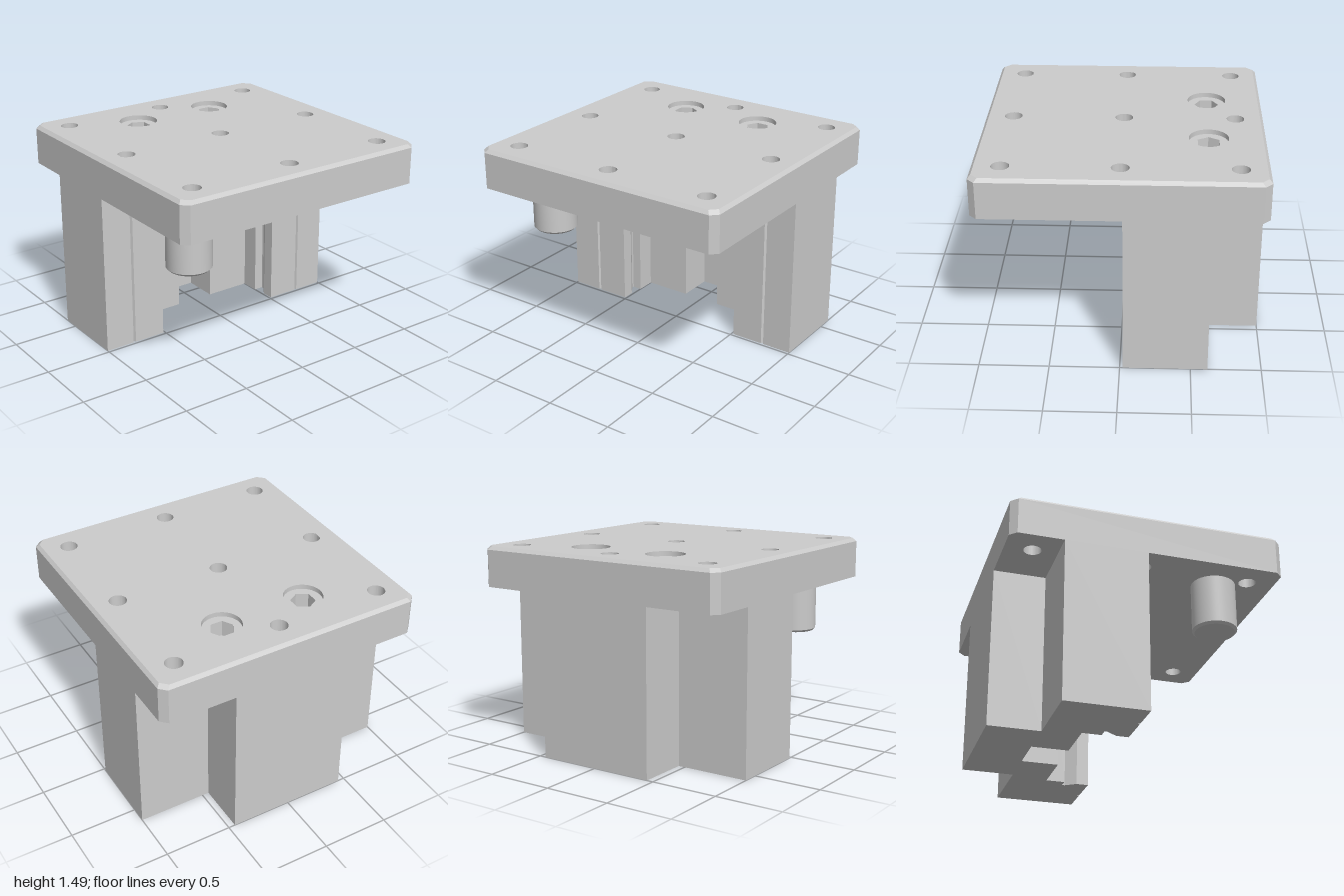
import * as THREE from 'three';
import { toCreasedNormals } from 'three/addons/utils/BufferGeometryUtils.js';

const material = new THREE.MeshStandardMaterial({ color: 0xcccccc });
const PLATE_BOTTOM = 1.19, PLATE_HEIGHT = 0.295;

// Outlines are given as [x, z] in plan; shape y is -z
const plan = (points) => points.map(([x, z]) => new THREE.Vector2(x, -z));

const circle = (x, z, r) => new THREE.Path().absarc(x, -z, r, 0, Math.PI * 2, true);

function hexagon(x, z, r, turn) {
  return Array.from({ length: 6 }, (_, i) => {
    const a = turn + i * Math.PI / 3;
    return [x + r * Math.cos(a), z + r * Math.sin(a)];
  });
}

// Extrude a plan outline upward from y = 0
function rise(shape, depth, steps = 1) {
  return new THREE.ExtrudeGeometry(shape, { depth, steps, bevelEnabled: false, curveSegments: 40 })
    .rotateX(-Math.PI / 2);
}

function add(group, name, geometry, y = 0) {
  const mesh = new THREE.Mesh(toCreasedNormals(geometry, 0.4), material);
  mesh.name = name;
  mesh.position.y = y;
  group.add(mesh);
  return mesh;
}

export function createModel() {
  const group = new THREE.Group();
  group.name = 'mountingBracket';
  const screws = [
    { x: -0.325, z: -0.6, turn: Math.PI / 6 },
    { x: 0.325, z: -0.6, turn: 0 },
  ];

  // Top plate: cut corners, grid of holes, two counterbores
  const c = 0.95;
  const plate = new THREE.Shape(plan([
    [-1, -c], [-1, c], [-c, 1], [c, 1], [1, c], [1, -c], [c, -1], [-c, -1],
  ]));
  for (const x of [-0.8, 0, 0.8])
    for (const z of [-0.8, 0, 0.8]) plate.holes.push(circle(x, z, 0.063));
  for (const s of screws) plate.holes.push(circle(s.x, s.z, 0.14));

  // Chamfer the upper rim: raise the middle ring and pull the top ring inward
  const plateGeometry = rise(plate, PLATE_HEIGHT, 2);
  const pos = plateGeometry.attributes.position;
  for (let i = 0; i < pos.count; i++) {
    const x = pos.getX(i), y = pos.getY(i), z = pos.getZ(i);
    if (Math.abs(y - PLATE_HEIGHT / 2) < 0.01) pos.setY(i, PLATE_HEIGHT - 0.025);
    else if (y > PLATE_HEIGHT - 0.01 && Math.max(Math.abs(x), Math.abs(z)) > 0.9) {
      pos.setX(i, x * 0.978);
      pos.setZ(i, z * 0.978);
    }
  }
  add(group, 'topPlate', plateGeometry, PLATE_BOTTOM);

  // Clamp block: stepped back, central slot, grooves in jaw walls and front faces
  const half = [
    [0.15, -0.62], [0.15, -0.35], [0.5, -0.35], [0.5, -0.21], [0.57, -0.21],
    [0.57, -0.19], [0.515, -0.11], [0.515, -0.02], [0.757, -0.02], [0.767, -0.04],
    [0.777, -0.02], [1, -0.02], [1, -0.62], [0.45, -0.62], [0.45, -1],
  ];
  const mirrored = half.map(([x, z]) => [-x, z]).reverse();
  add(group, 'clampBlock', rise(new THREE.Shape(plan([...half, ...mirrored])), PLATE_BOTTOM));

  // Recessed screw heads with hexagonal sockets
  for (const s of screws) {
    const head = new THREE.Shape().absarc(s.x, -s.z, 0.14, 0, Math.PI * 2, false);
    const socket = plan(hexagon(s.x, s.z, 0.088, s.turn));
    head.holes.push(new THREE.Path(socket));
    add(group, 'screwHead', rise(head, 0.26), PLATE_BOTTOM);
    add(group, 'socketFloor', rise(new THREE.Shape(socket), 0.14), PLATE_BOTTOM);
  }

  // Hanging peg with chamfered lower end
  const peg = new THREE.LatheGeometry(plan([
    [0, -0.81], [0.145, -0.81], [0.162, -0.827], [0.162, -PLATE_BOTTOM],
  ]), 48);
  const pegMesh = add(group, 'peg', peg);
  pegMesh.position.x = -0.68;
  pegMesh.position.z = 0.58;

  return group;
}
